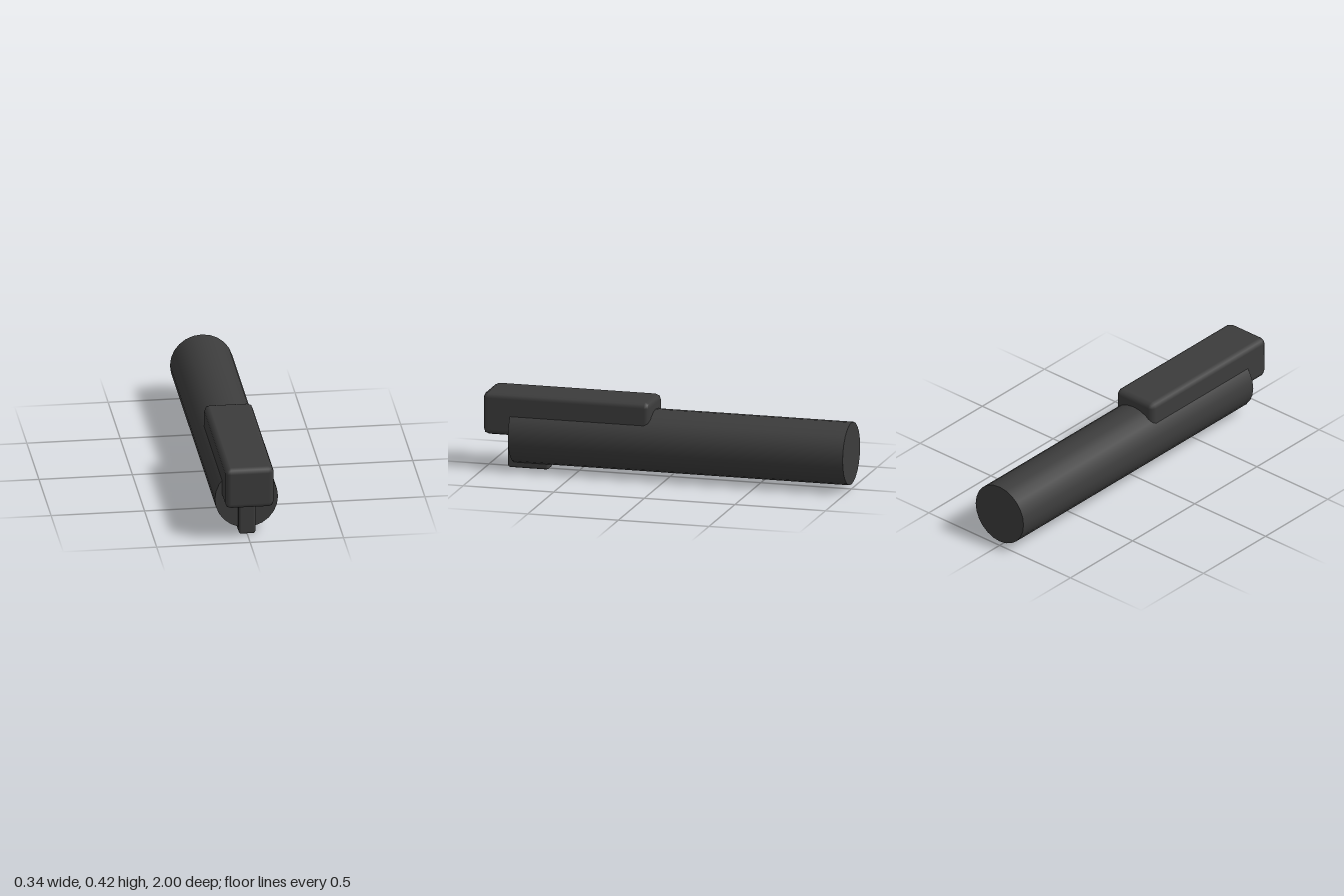
import * as THREE from 'three';
import { RoundedBoxGeometry } from 'three/addons/geometries/RoundedBoxGeometry.js';

export function createModel() {
  const model = new THREE.Group();
  const charcoal = new THREE.MeshStandardMaterial({ color: 0x3c3c3c });
  charcoal.name = 'charcoal';

  const add = (name, geometry, x, y, z) => {
    const mesh = new THREE.Mesh(geometry, charcoal);
    mesh.name = name;
    mesh.position.set(x, y, z);
    model.add(mesh);
  };

  // Long tube lying along z, with a corner on each side
  const tube = new THREE.CylinderGeometry(0.169, 0.169, 1.848, 24);
  tube.rotateX(Math.PI / 2);
  add('body', tube, 0, 0.195, -0.076);

  // Rounded housing on top, overhanging the front end
  add('topHousing', new RoundedBoxGeometry(0.26, 0.23, 0.92, 1, 0.03), 0, 0.308, 0.54);

  // Narrow block through the front end, showing below the tube
  add('lowerCatch', new RoundedBoxGeometry(0.09, 0.28, 0.226, 1, 0.013), 0, 0.141, 0.773);

  return model;
}
